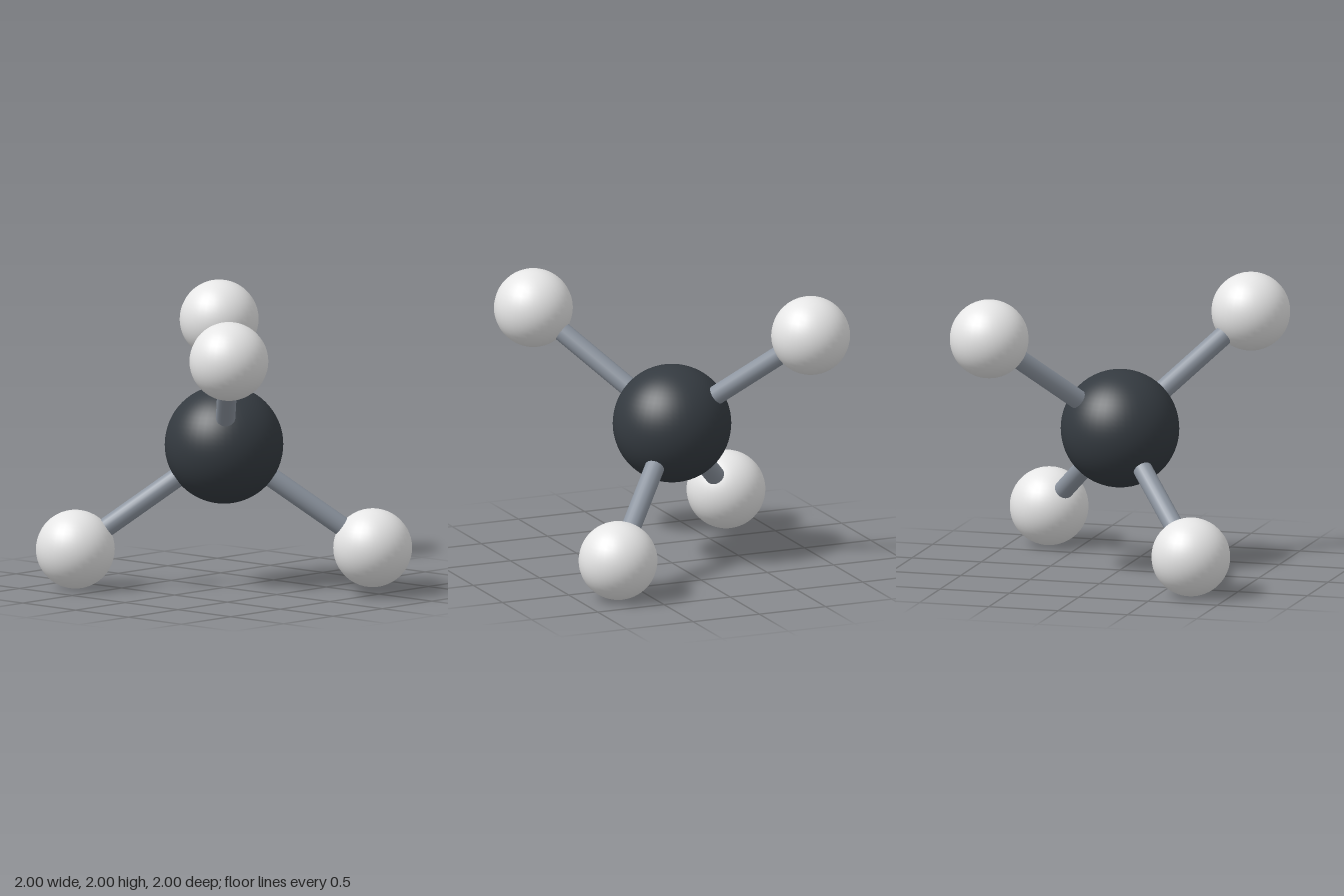
import * as THREE from 'three';

export function createModel() {
  const model = new THREE.Group();
  model.name = 'tetrahedralMolecule';

  const mat = (name, color) => {
    const m = new THREE.MeshStandardMaterial({ color });
    m.name = name;
    return m;
  };
  const charcoal = mat('charcoal', 0x343a40);
  const offWhite = mat('off white', 0xe6e6e6);
  const steel = mat('steel grey', 0x8d95a0);

  const up = new THREE.Vector3(0, 1, 0);
  const centre = new THREE.Vector3(0, 1, 0);
  const reach = 0.727; // offset of each outer ball along every axis

  // Central ball
  const core = new THREE.Mesh(new THREE.SphereGeometry(0.41, 48, 32), charcoal);
  core.name = 'centralAtom';
  core.position.copy(centre);
  model.add(core);

  // Four arms pointing at alternate corners of a cube
  const arms = [
    ['UpperFrontLeft', 1, 1, 1],
    ['UpperBackRight', -1, 1, -1],
    ['LowerFrontRight', -1, -1, 1],
    ['LowerBackLeft', 1, -1, -1],
  ];
  const length = reach * Math.sqrt(3);
  const ballGeometry = new THREE.SphereGeometry(0.273, 32, 24);
  const bondGeometry = new THREE.CylinderGeometry(0.068, 0.068, length, 20);

  for (const [label, x, y, z] of arms) {
    const offset = new THREE.Vector3(x, y, z).multiplyScalar(reach);

    const ball = new THREE.Mesh(ballGeometry, offWhite);
    ball.name = 'outerAtom' + label;
    ball.position.copy(centre).add(offset);

    // Bond runs between the two ball centres
    const bond = new THREE.Mesh(bondGeometry, steel);
    bond.name = 'bond' + label;
    bond.position.copy(centre).addScaledVector(offset, 0.5);
    bond.quaternion.setFromUnitVectors(up, offset.clone().normalize());

    model.add(ball, bond);
  }
  return model;
}
